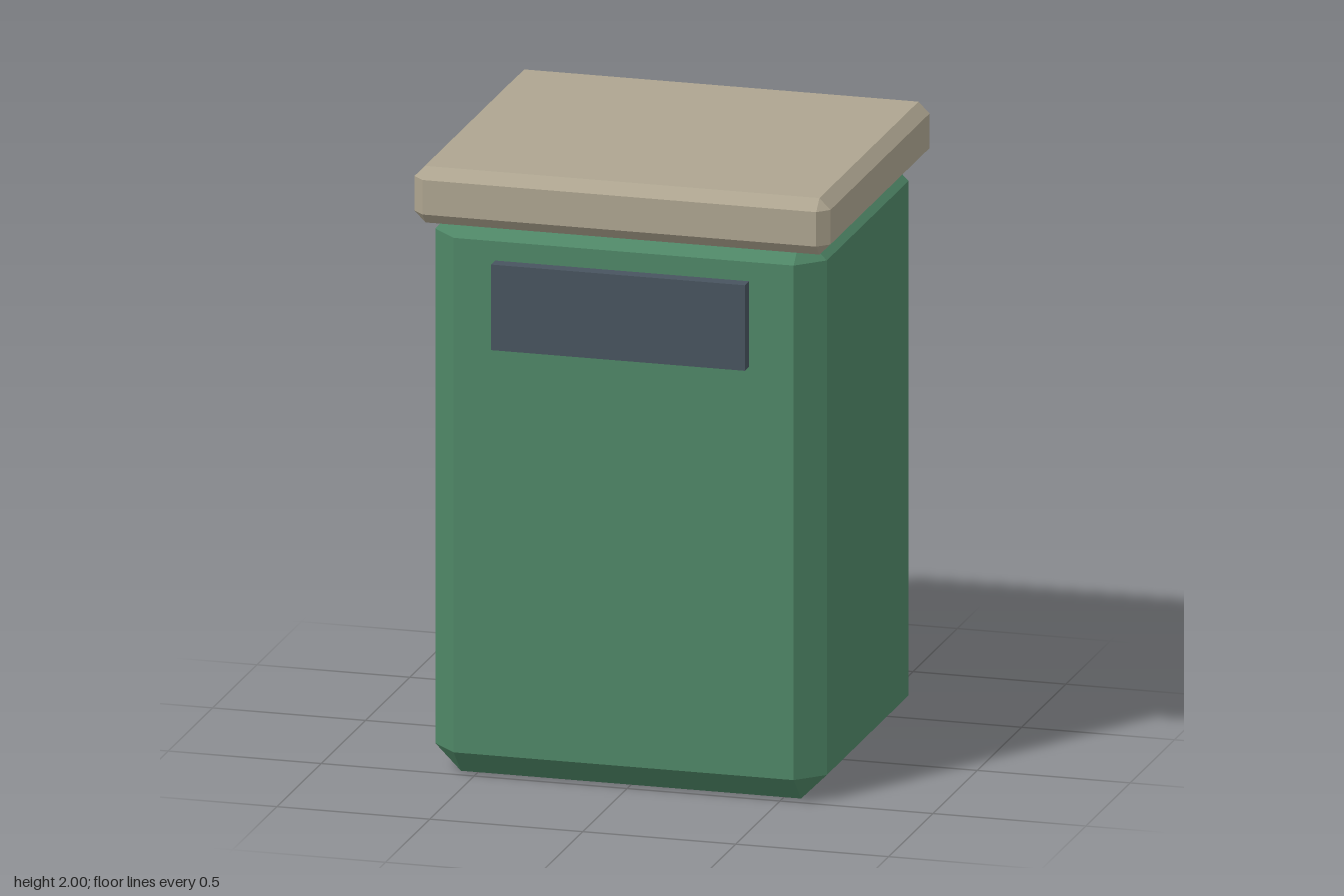
import * as THREE from 'three';
import { ConvexGeometry } from 'three/addons/geometries/ConvexGeometry.js';

// Box with every edge cut at 45 degrees and a small triangle at each corner
function chamferedBox(w, h, d, cut) {
  const points = [];
  for (const sx of [-1, 1]) for (const sy of [-1, 1]) for (const sz of [-1, 1]) {
    for (let axis = 0; axis < 3; axis++) {
      const inset = [cut, cut, cut];
      inset[axis] = 0;
      points.push(new THREE.Vector3(
        sx * (w / 2 - inset[0]), sy * (h / 2 - inset[1]), sz * (d / 2 - inset[2])));
    }
  }
  return new ConvexGeometry(points);
}

function material(name, color) {
  const m = new THREE.MeshStandardMaterial({ color });
  m.name = name;
  return m;
}

export function createModel() {
  const group = new THREE.Group();
  group.name = 'bin';

  const add = (name, geometry, mat, y, z) => {
    const mesh = new THREE.Mesh(geometry, mat);
    mesh.name = name;
    mesh.position.set(0, y, z);
    group.add(mesh);
  };

  // Tall green container
  add('body', chamferedBox(1.28, 1.852, 1.09, 0.084), material('green', 0x4f8767), 0.926, -0.006);

  // Overhanging lid, lapping over the top of the body
  add('lid', chamferedBox(1.36, 0.185, 1.19, 0.036), material('beige', 0xaea590), 1.9075, -0.007);

  // Front panel, standing just off the body
  add('frontPanel', new THREE.BoxGeometry(0.83, 0.28, 0.047), material('slate', 0x48545f), 1.57, 0.579);

  return group;
}
